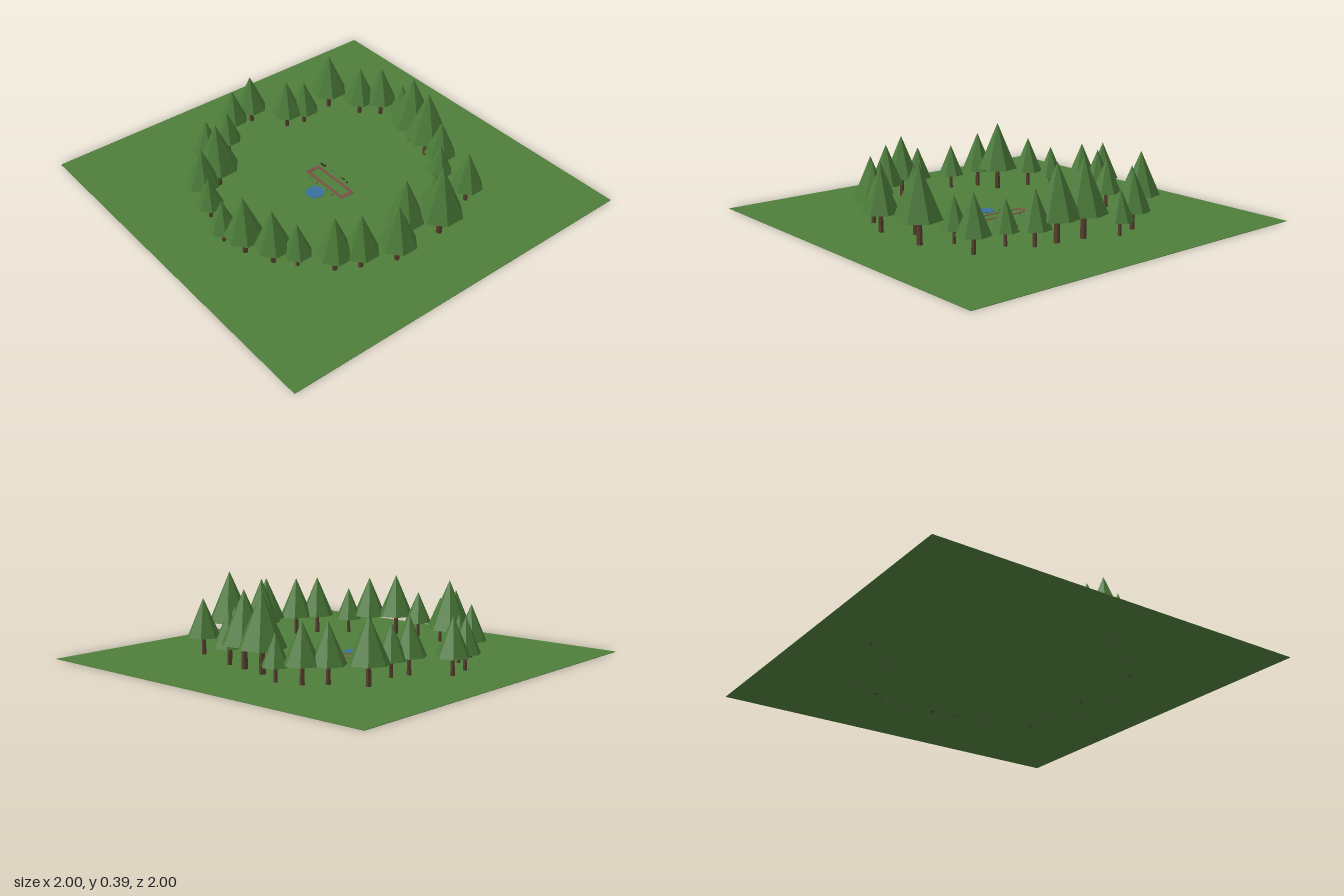
import * as THREE from 'three';

const mat = (name, color, extra = {}) => {
  const m = new THREE.MeshStandardMaterial({ color, ...extra });
  m.name = name;
  return m;
};

export function createModel() {
  const model = new THREE.Group();
  model.name = 'forestClearing';
  const grass = mat('grassGreen', 0x4e7d3a);
  const leaf = mat('pineGreen', 0x4a7a38, { flatShading: true });
  const bark = mat('barkBrown', 0x57402f, { flatShading: true });
  const dirt = mat('pathBrown', 0x7a4f45);
  const water = mat('pondBlue', 0x3a6f9f);
  const dark = mat('darkWood', 0x2c2620);
  const red = mat('flowerRed', 0x8c3a3a);

  const add = (name, geo, material, x, y, z, parent = model) => {
    const mesh = new THREE.Mesh(geo, material);
    mesh.name = name;
    mesh.position.set(x, y, z);
    parent.add(mesh);
    return mesh;
  };
  const box = (name, w, h, d, material, x, z, y = 0.002) =>
    add(name, new THREE.BoxGeometry(w, h, d), material, x, y + h / 2, z);

  // Ground slab
  box('ground', 2, 0.002, 2, grass, 0, 0, 0);

  // Ring of pines: x, z, crown radius, height
  const trees = [
    [0.01, -0.70, 0.084, 0.283], [-0.125, -0.675, 0.077, 0.26], [-0.245, -0.553, 0.07, 0.24],
    [-0.395, -0.52, 0.079, 0.27], [-0.57, -0.30, 0.087, 0.30], [-0.45, -0.345, 0.107, 0.368],
    [-0.628, -0.158, 0.07, 0.24], [-0.68, 0.03, 0.073, 0.245], [-0.648, 0.16, 0.096, 0.33],
    [-0.587, 0.30, 0.091, 0.31], [-0.513, 0.39, 0.072, 0.25], [-0.397, 0.522, 0.091, 0.312],
    [-0.29, 0.582, 0.091, 0.312], [-0.125, 0.65, 0.098, 0.322], [0.012, 0.548, 0.098, 0.343],
    [0.163, 0.633, 0.115, 0.39], [0.25, 0.50, 0.069, 0.235], [0.437, 0.535, 0.086, 0.29],
    [0.432, 0.345, 0.068, 0.23], [0.527, 0.25, 0.083, 0.278], [0.543, 0.128, 0.115, 0.385],
    [0.569, -0.017, 0.118, 0.393], [0.647, -0.18, 0.068, 0.232], [0.607, -0.307, 0.087, 0.295],
    [0.522, -0.387, 0.087, 0.29], [0.432, -0.547, 0.099, 0.326], [0.228, -0.51, 0.078, 0.26],
    [0.132, -0.54, 0.085, 0.285],
  ];
  for (const [x, z, r, h] of trees) {
    const tree = new THREE.Group();
    tree.name = 'pineTree';
    tree.position.set(x, 0, z);
    model.add(tree);
    const base = h * 0.32;
    const trunkTop = base + 0.02;
    add('trunk', new THREE.CylinderGeometry(r * 0.11, r * 0.14, trunkTop, 6), bark, 0, trunkTop / 2, 0, tree);
    const crown = add('crown', new THREE.ConeGeometry(r, h - base, 7), leaf, 0, (h + base) / 2, 0, tree);
    crown.rotation.y = Math.PI;
  }

  // Rectangular path in the clearing
  for (const s of [-1, 1]) {
    box('pathSide', 0.015, 0.002, 0.29, dirt, -0.002 + s * 0.034, -0.003);
    box('pathEnd', 0.083, 0.002, 0.02, dirt, -0.002, -0.003 + s * 0.135);
  }

  // Pond
  add('pond', new THREE.CylinderGeometry(0.048, 0.048, 0.002, 12), water, -0.113, 0.003, 0.018);

  // Bench and small plants along the path
  box('bench', 0.006, 0.007, 0.03, dark, 0.058, -0.135);
  [-0.09, -0.035, 0.045, 0.09].forEach((z, i) => {
    box('shrub', 0.006, 0.007, 0.006, i % 2 ? red : leaf, -0.06, z);
    box('flower', 0.006, 0.007, 0.006, [dark, water, red, leaf][i], 0.062, z - 0.03);
  });
  box('post', 0.006, 0.008, 0.006, dark, 0.065, 0.03);
  box('post', 0.006, 0.008, 0.006, dark, 0.06, 0.06);
  return model;
}
